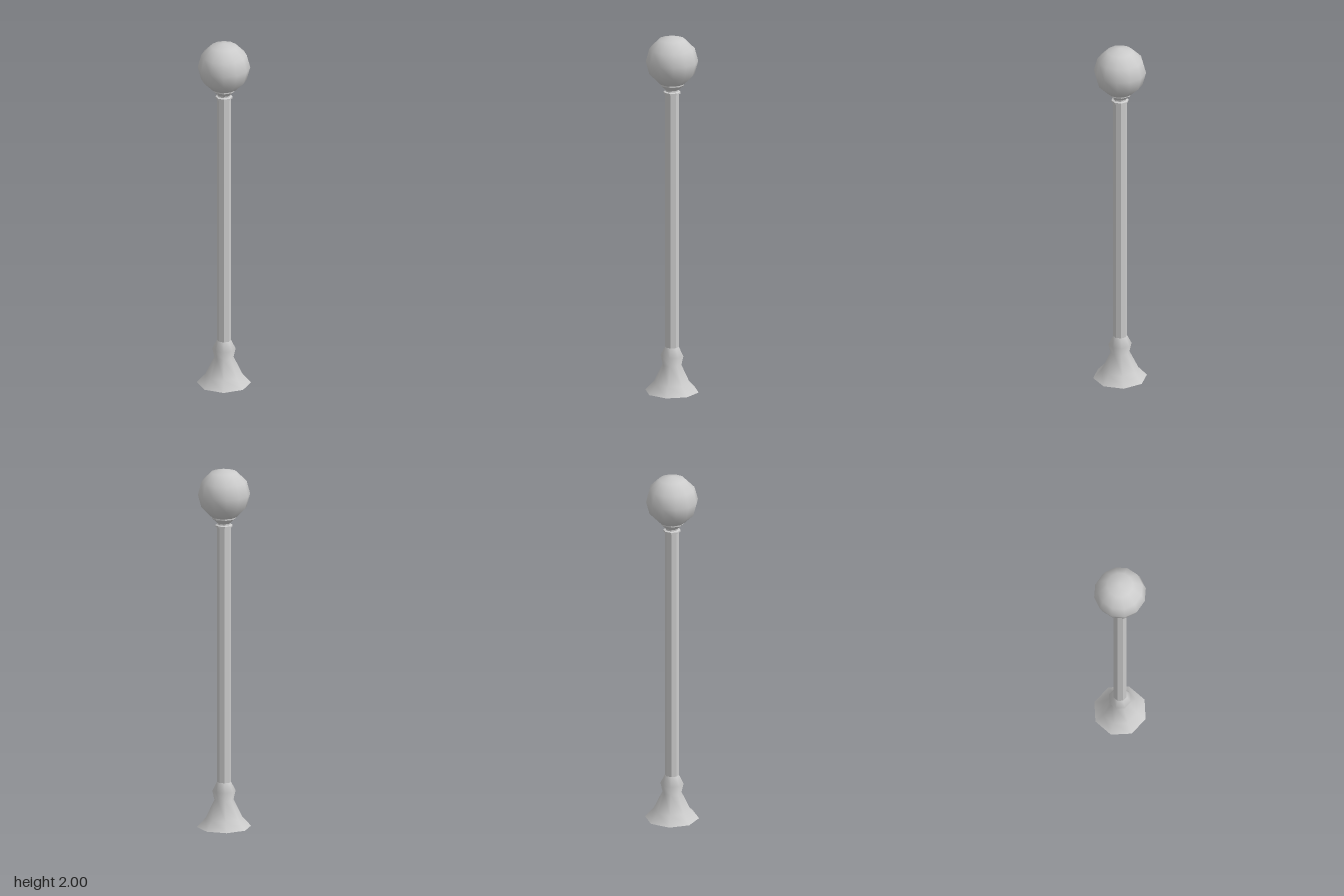
import * as THREE from 'three';

const smooth = new THREE.MeshStandardMaterial({ color: 0xcccccc, side: THREE.DoubleSide });
const faceted = new THREE.MeshStandardMaterial({ color: 0xcccccc, side: THREE.DoubleSide, flatShading: true });

// Eight-sided turned part from [radius, height] pairs, bottom to top
function turned(name, profile, material) {
  const points = profile.map(([r, y]) => new THREE.Vector2(r, y));
  const mesh = new THREE.Mesh(new THREE.LatheGeometry(points, 8), material);
  mesh.name = name;
  return mesh;
}

export function createModel() {
  const group = new THREE.Group();
  group.name = 'lampPost';

  // Flared foot, hollow underneath
  group.add(turned('base', [[0.147, 0], [0.1, 0.05], [0.052, 0.15], [0.063, 0.2], [0.038, 0.25]], smooth));

  // Octagonal shaft
  group.add(turned('pole', [[0.038, 0.25], [0.038, 1.675]], faceted));

  // Thin ring, neck and cup that hold the globe
  group.add(turned('collar', [
    [0.038, 1.675], [0.047, 1.677], [0.047, 1.686], [0.036, 1.69],
    [0.036, 1.698], [0.066, 1.725], [0.066, 1.734], [0.05, 1.738],
  ], faceted));

  // Round lamp
  const globe = new THREE.Mesh(new THREE.SphereGeometry(0.142, 12, 6), smooth);
  globe.name = 'globe';
  globe.position.y = 1.858;
  group.add(globe);

  return group;
}
